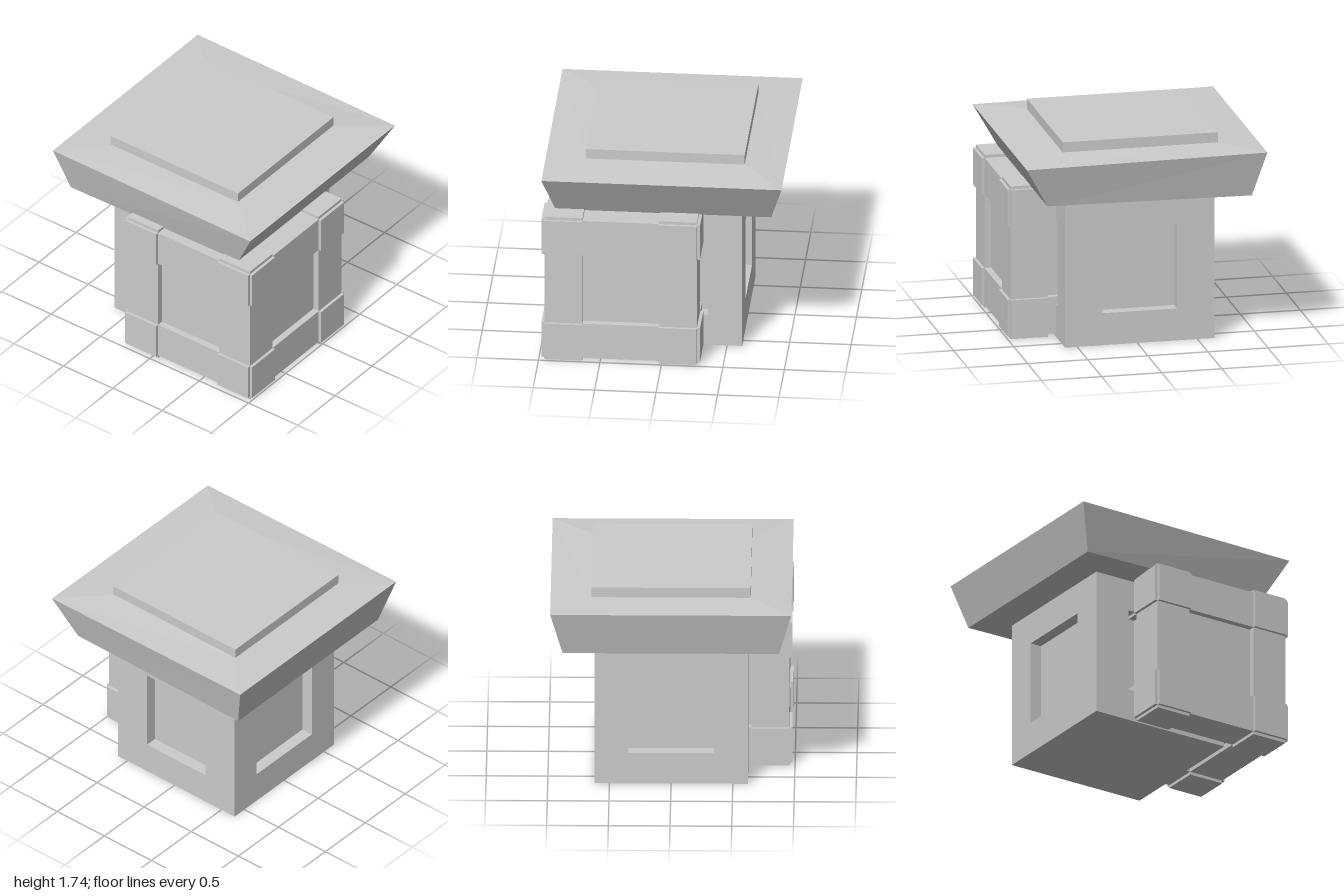
import * as THREE from 'three';

const grey = new THREE.MeshStandardMaterial({ color: 0xcccccc, flatShading: true });

function add(parent, name, geometry, x = 0, y = 0, z = 0) {
  const mesh = new THREE.Mesh(geometry, grey);
  mesh.name = name;
  mesh.position.set(x, y, z);
  parent.add(mesh);
  return mesh;
}

// Slab facing +z (its back on z = 0) with a rectangular window
function windowWall(width, height, depth, halfWindow, low, high) {
  const rect = (target, w, y0, y1) => target.moveTo(-w, y0).lineTo(w, y0).lineTo(w, y1).lineTo(-w, y1).closePath();
  const shape = rect(new THREE.Shape(), width / 2, 0, height);
  shape.holes.push(rect(new THREE.Path(), halfWindow, low, high));
  return new THREE.ExtrudeGeometry(shape, { depth, bevelEnabled: false });
}

// Closed solid through stacked four-cornered rings: [halfX, backZ, backY, frontZ, frontY]
function stackedRings(rings) {
  const positions = [], index = [];
  for (const [x, bz, by, fz, fy] of rings) positions.push(-x, fy, fz, x, fy, fz, x, by, bz, -x, by, bz);
  for (let r = 0; r < rings.length - 1; r++) {
    for (let i = 0; i < 4; i++) {
      const a = r * 4 + i, b = r * 4 + (i + 1) % 4;
      index.push(a, b, b + 4, a, b + 4, a + 4);
    }
  }
  const t = (rings.length - 1) * 4;
  index.push(0, 2, 1, 0, 3, 2, t, t + 1, t + 2, t, t + 2, t + 3);
  const indexed = new THREE.BufferGeometry();
  indexed.setAttribute('position', new THREE.Float32BufferAttribute(positions, 3));
  indexed.setIndex(index);
  const geometry = indexed.toNonIndexed();
  geometry.computeVertexNormals();
  return geometry;
}

// Square pillar with a sunken panel on each side
function createPillar() {
  const pillar = new THREE.Group();
  pillar.name = 'pillar';
  const W = 1.245, H = 1.245, D = 1.24, depth = 0.1;
  add(pillar, 'pillarCore', new THREE.BoxGeometry(W - 2 * depth, H, D - 2 * depth), 0, H / 2, 0);
  for (const s of [1, -1]) {
    const face = add(pillar, s > 0 ? 'frontPanelFrame' : 'backPanelFrame',
      windowWall(W, H, depth, 0.345, 0.27, 0.98), 0, 0, s * (D / 2 - depth));
    face.rotation.y = s > 0 ? 0 : Math.PI;
    const side = add(pillar, s > 0 ? 'leftPanelFrame' : 'rightPanelFrame',
      windowWall(D - 2 * depth, H, depth, 0.31, 0.27, 0.98), s * (W / 2 - depth), 0, 0);
    side.rotation.y = s * Math.PI / 2;
  }
  pillar.position.set(0, 0, -0.02);
  return pillar;
}

// Cubic crate: twelve beams whose ends poke out slightly, around a solid core
function createCrate() {
  const crate = new THREE.Group();
  crate.name = 'crate';
  const length = 1.29, beam = 0.31, offset = 0.465;
  add(crate, 'crateCore', new THREE.BoxGeometry(1.13, 1.13, 1.13));
  ['x', 'y', 'z'].forEach((axis, k) => {
    const size = [beam, beam, beam];
    size[k] = length;
    for (const a of [-1, 1]) for (const b of [-1, 1]) {
      const p = [0, 0, 0];
      p[(k + 1) % 3] = a * offset;
      p[(k + 2) % 3] = b * offset;
      add(crate, axis === 'y' ? 'cratePost' : 'crateBeam', new THREE.BoxGeometry(...size), ...p);
    }
  });
  crate.position.set(-0.333, length / 2, 0.357);
  return crate;
}

export function createModel() {
  const model = new THREE.Group();
  model.name = 'pedestalWithCrate';
  model.add(createPillar(), createCrate());

  // Flared cap, a little uneven from back to front
  add(model, 'flaredCap', stackedRings([
    [0.622, -0.64, 1.245, 0.6, 1.245],
    [0.877, -0.893, 1.26, 0.807, 1.28],
    [0.977, -1, 1.643, 1, 1.625],
    [0.645, -0.668, 1.657, 0.625, 1.657],
  ]));
  add(model, 'topSlab', new THREE.BoxGeometry(1.29, 0.1, 1.293), 0, 1.692, -0.021);
  return model;
}
